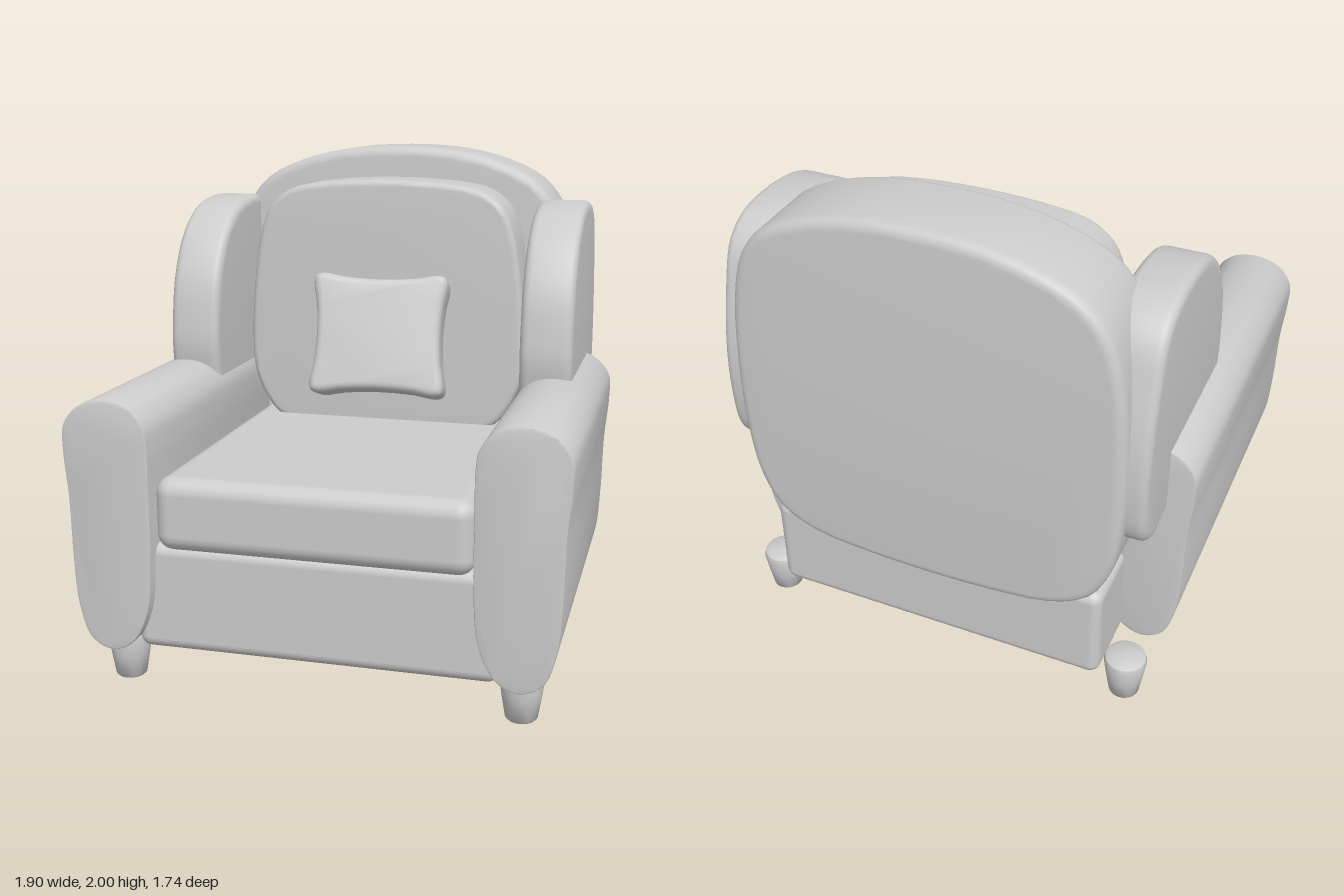
import * as THREE from 'three';
import { toCreasedNormals } from 'three/addons/utils/BufferGeometryUtils.js';
import { RoundedBoxGeometry } from 'three/addons/geometries/RoundedBoxGeometry.js';

const fabric = new THREE.MeshStandardMaterial({ name: 'light grey', color: 0xcccccc });

// Smooth closed outline through a few points
function outline(points, samples = 72) {
  const curve = new THREE.CatmullRomCurve3(
    points.map(([x, y]) => new THREE.Vector3(x, y, 0)), true, 'centripetal');
  const pts = curve.getPoints(samples).slice(0, -1);
  return new THREE.Shape(pts.map(p => new THREE.Vector2(p.x, p.y)));
}

// Mirror a right-hand half outline (top centre to bottom centre)
function symmetric(half) {
  const other = half.slice(1, -1).reverse().map(([x, y]) => [-x, y]);
  return [...half, ...other];
}

// Upholstered slab: extruded outline with rolled edges, centred on z
function slab(points, depth, bevel, segments = 4) {
  const geo = new THREE.ExtrudeGeometry(outline(points), {
    depth: depth - 2 * bevel, steps: 1, bevelEnabled: true,
    bevelThickness: bevel, bevelSize: bevel, bevelOffset: -bevel, bevelSegments: segments,
  });
  geo.translate(0, 0, bevel - depth / 2);
  return toCreasedNormals(geo, 0.6);
}

export function createModel() {
  const model = new THREE.Group();
  model.name = 'armchair';
  const add = (name, geo, x = 0, y = 0, z = 0) => {
    const mesh = new THREE.Mesh(geo, fabric);
    mesh.name = name;
    mesh.position.set(x, y, z);
    model.add(mesh);
    return mesh;
  };

  // Base and seat
  add('base', new RoundedBoxGeometry(1.39, 0.42, 1.66, 3, 0.045), 0, 0.365, -0.01);
  add('seatCushion', new RoundedBoxGeometry(1.21, 0.285, 1.4, 3, 0.065), 0, 0.698, 0.15);

  // Backrest and its cushion
  add('backrest', slab(symmetric([
    [0, 2], [0.25, 1.985], [0.45, 1.935], [0.6, 1.86], [0.69, 1.75], [0.745, 1.55],
    [0.77, 1.25], [0.765, 0.95], [0.73, 0.73], [0.65, 0.58], [0.5, 0.5], [0.25, 0.468], [0, 0.46],
  ]), 0.36, 0.04), 0, 0, -0.69);
  add('backCushion', slab(symmetric([
    [0, 1.87], [0.24, 1.86], [0.41, 1.83], [0.5, 1.765], [0.545, 1.67], [0.58, 1.48],
    [0.6, 1.2], [0.59, 1.03], [0.54, 0.91], [0.47, 0.83], [0.3, 0.79], [0, 0.78],
  ]), 0.3, 0.025), 0, 0, -0.42);

  // Arms and wings on both sides
  const armProfile = [
    [0, 1.13], [0.1, 1.105], [0.165, 1.03], [0.17, 0.93], [0.155, 0.75], [0.148, 0.5],
    [0.132, 0.32], [0.085, 0.195], [0, 0.155], [-0.085, 0.195], [-0.148, 0.32],
    [-0.168, 0.55], [-0.168, 0.8], [-0.168, 0.96], [-0.155, 1.04], [-0.1, 1.105],
  ];
  const wingProfile = [ // [toward the back, up]
    [-0.07, 1.15], [-0.065, 1.3], [-0.025, 1.48], [0.08, 1.65], [0.23, 1.75], [0.44, 1.785],
    [0.62, 1.765], [0.72, 1.69], [0.78, 1.53], [0.83, 1.29], [0.835, 1.06], [0.805, 0.9],
    [0.73, 0.835], [0.57, 0.84], [0.25, 0.86], [0, 0.93],
  ];
  for (const side of [1, -1]) {
    const label = side > 0 ? 'left' : 'right';
    const profile = armProfile.map(([x, y]) => [x * side, y]);
    add(label + 'Arm', slab(profile, 1.435, 0.008, 2), side * 0.776, 0, 0.1525);
    const wing = slab(wingProfile, 0.21, 0.035);
    wing.rotateY(Math.PI / 2);
    add(label + 'Wing', wing, side * 0.737);
  }

  // Throw pillow with pinched sides, leaning back
  const pillow = add('throwPillow', slab([
    [0, 0.228], [0.15, 0.236], [0.235, 0.25], [0.268, 0.24], [0.277, 0.21], [0.262, 0.12],
    [0.255, 0], [0.262, -0.12], [0.277, -0.21], [0.268, -0.24], [0.235, -0.25], [0.15, -0.236],
    [0, -0.228], [-0.15, -0.236], [-0.235, -0.25], [-0.268, -0.24], [-0.277, -0.21], [-0.262, -0.12],
    [-0.255, 0], [-0.262, 0.12], [-0.277, 0.21], [-0.268, 0.24], [-0.235, 0.25], [-0.15, 0.236],
  ], 0.21, 0.03), 0.03, 1.237, -0.093);
  pillow.rotation.set(-0.29, 0.11, -0.01, 'YXZ');

  // Tapered feet with a rounded shoulder
  const foot = new THREE.LatheGeometry([
    [0, 0], [0.052, 0], [0.06, 0.008], [0.074, 0.09], [0.085, 0.165], [0.08, 0.183], [0.06, 0.193], [0, 0.197],
  ].map(([r, y]) => new THREE.Vector2(r, y)), 24);
  const footGeo = toCreasedNormals(foot, 0.7);
  for (const x of [0.77, -0.77]) {
    add('frontFoot', footGeo, x, 0, 0.725);
    add('backFoot', footGeo, x, 0, -0.715);
  }
  return model;
}
